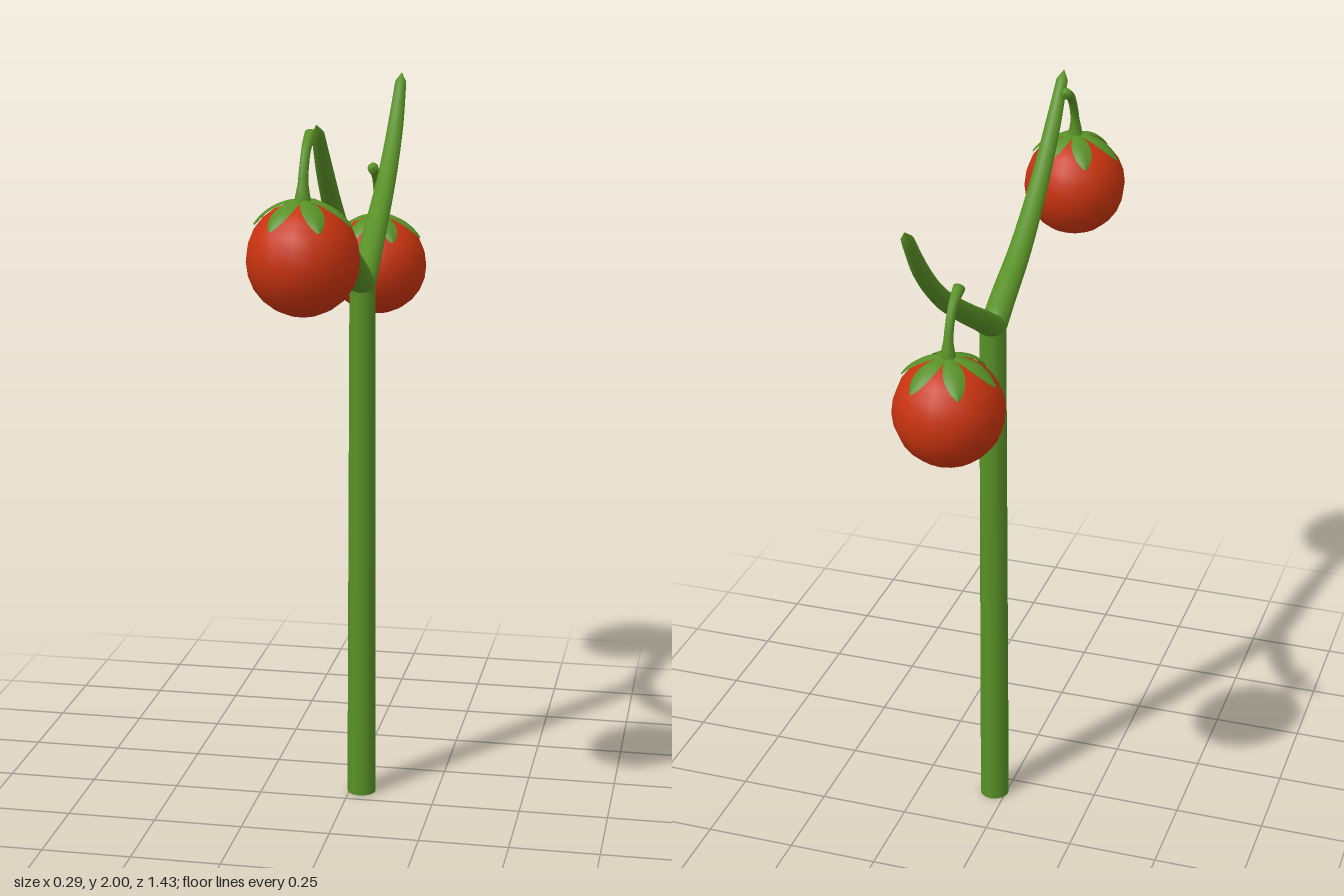
import * as THREE from 'three';
import { mergeVertices } from 'three/addons/utils/BufferGeometryUtils.js';

const green = new THREE.MeshStandardMaterial({ color: 0x589026, side: THREE.DoubleSide });
green.name = 'stem green';
const red = new THREE.MeshStandardMaterial({ color: 0xc8330f });
red.name = 'tomato red';

const FRUIT_R = 0.143;

function part(name, geometry, material) {
  const mesh = new THREE.Mesh(geometry, material);
  mesh.name = name;
  return mesh;
}

// Tube along points whose radius follows a list, with closed ends
function taperedTube(points, radii, flatten = 1, segs = 28, sides = 12) {
  const curve = new THREE.CatmullRomCurve3(points.map(p => new THREE.Vector3(...p)));
  const geo = new THREE.TubeGeometry(curve, segs, 1, sides, false);
  const pos = geo.attributes.position;
  const v = new THREE.Vector3();
  for (let i = 0; i <= segs; i++) {
    const c = curve.getPointAt(i / segs);
    const f = (i / segs) * (radii.length - 1);
    const k = Math.min(Math.floor(f), radii.length - 2);
    const r = i === 0 || i === segs ? 0.0005 : THREE.MathUtils.lerp(radii[k], radii[k + 1], f - k);
    for (let j = 0; j <= sides; j++) {
      const n = i * (sides + 1) + j;
      v.fromBufferAttribute(pos, n).sub(c);
      v.multiply(new THREE.Vector3(r, r * flatten, r * flatten)).add(c);
      pos.setXYZ(n, v.x, v.y, v.z);
    }
  }
  geo.deleteAttribute('uv');
  geo.deleteAttribute('normal');
  const welded = mergeVertices(geo, 1e-5);
  welded.computeVertexNormals();
  return welded;
}

// Pointed sepal bent over the top of the fruit, ridged along its middle
function sepalGeometry() {
  const geo = new THREE.PlaneGeometry(2, 1, 4, 8);
  const pos = geo.attributes.position;
  for (let i = 0; i < pos.count; i++) {
    const s = pos.getX(i);
    const t = pos.getY(i) + 0.5;
    const angle = 0.06 + t * 0.92;
    const half = 0.004 + 0.024 * Math.pow(Math.sin(Math.PI * Math.pow(t, 1.1)), 0.7) * (1 - 0.1 * t);
    const r = FRUIT_R * (1.055 - 0.03 * Math.abs(s));
    const dir = new THREE.Vector3(Math.sin(angle), Math.cos(angle), -s * half / FRUIT_R);
    dir.normalize().multiplyScalar(r);
    pos.setXYZ(i, dir.x, dir.y, dir.z);
  }
  geo.computeVertexNormals();
  return geo;
}

// Fruit with its calyx and hooked stem; reach is the signed z of the hook
function tomato(name, reach) {
  const group = new THREE.Group();
  group.name = name;
  group.add(part('fruit', new THREE.SphereGeometry(FRUIT_R, 16, 12), red));
  const sepal = sepalGeometry();
  for (let i = 0; i < 6; i++) {
    const leaf = part('sepal', sepal, green);
    leaf.rotation.y = i * Math.PI / 3;
    group.add(leaf);
  }
  group.add(part('fruitStem', taperedTube([
    [0, 0.11, 0], [0, 0.165, 0], [0, 0.22, reach * 0.14],
    [0, 0.268, reach * 0.45], [0, 0.298, reach]
  ], [0.027, 0.02, 0.013, 0.012, 0.012, 0.014, 0.017], 1, 28, 10), green));
  return group;
}

export function createModel() {
  const model = new THREE.Group();
  model.name = 'tomatoPlant';
  const X = 0.034;

  // Main stalk and the fork on top of it
  const stalk = part('stalk', new THREE.CylinderGeometry(0.036, 0.041, 1.49, 14), green);
  stalk.position.set(X, 0.745, -0.068);
  model.add(stalk);
  const fork = part('fork', new THREE.SphereGeometry(0.036, 14, 10), green);
  fork.position.set(X, 1.485, -0.067);
  model.add(fork);

  // Two rising branches
  const radii = [0.038, 0.035, 0.031, 0.027, 0.023, 0.015];
  const branches = {
    frontBranch: [[-0.08, 1.478], [0.03, 1.542], [0.164, 1.613], [0.323, 1.732], [0.455, 1.862], [0.568, 1.998]],
    backBranch: [[-0.05, 1.478], [-0.165, 1.548], [-0.286, 1.618], [-0.471, 1.737], [-0.603, 1.856], [-0.712, 1.998]]
  };
  for (const [name, path] of Object.entries(branches)) {
    model.add(part(name, taperedTube(path.map(([z, y]) => [X, y, z]), radii, 0.84), green));
  }

  // Hanging fruit
  const frontTomato = tomato('frontTomato', -0.107);
  frontTomato.position.set(0, 1.668, 0.57);
  const backTomato = tomato('backTomato', 0.095);
  backTomato.position.set(-0.003, 1.46, -0.527);
  model.add(frontTomato, backTomato);
  return model;
}
